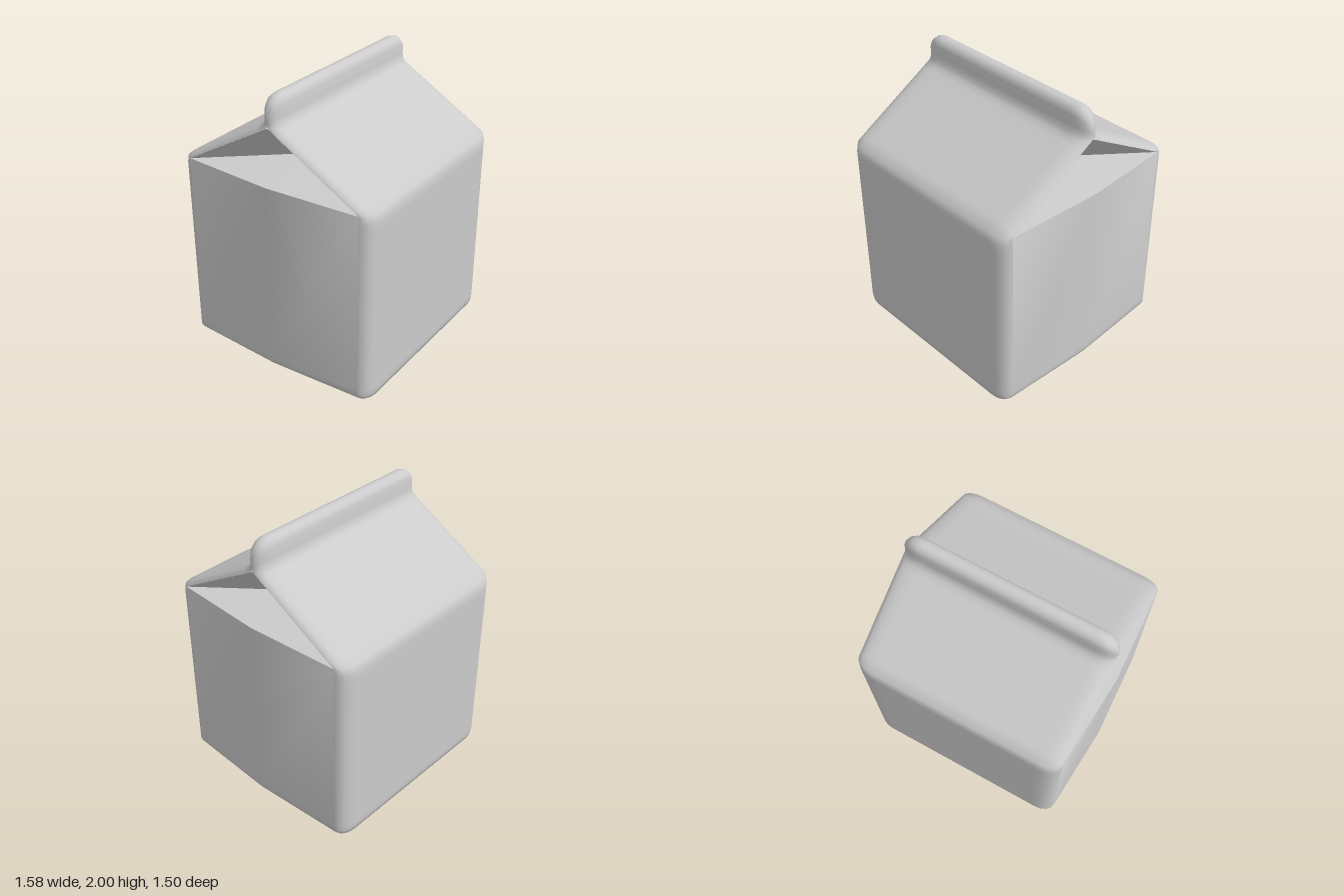
import * as THREE from 'three';
import { mergeGeometries, toCreasedNormals } from 'three/addons/utils/BufferGeometryUtils.js';

const material = new THREE.MeshStandardMaterial({ color: 0xcccccc });
const foldMaterial = new THREE.MeshStandardMaterial({ color: 0xcccccc, side: THREE.DoubleSide });

// Surface through rows of [x, y, z] points
function gridSurface(rows) {
  const n = rows[0].length, index = [];
  for (let r = 0; r < rows.length - 1; r++) {
    for (let c = 0; c < n - 1; c++) {
      const a = r * n + c, d = a + n;
      index.push(a, a + 1, d, a + 1, d + 1, d);
    }
  }
  const g = new THREE.BufferGeometry();
  g.setAttribute('position', new THREE.Float32BufferAttribute(rows.flat(2), 3));
  g.setIndex(index);
  return g;
}

// Stations across the width: x, side sign, and a quarter-round at each end
const STEPS = 4;
const right = [{ x: 0.59, s: 0, k: 0 }];
for (let i = 0; i <= STEPS; i++) {
  const t = (i / STEPS) * Math.PI / 2;
  right.push({ x: 0.63 + 0.12 * Math.sin(t), s: Math.sin(t), k: 1 - Math.cos(t) });
}
const left = right.map((p) => ({ x: -p.x, s: -p.s, k: p.k })).reverse();
const stations = [...left, ...right];

// Half profile: [z, y] in the middle, then [z, y] at the outer end
const HALF = [
  [0.67, 0, 0.67, 0.07], [0.71, 0.008, 0.67, 0.07], [0.74, 0.03, 0.67, 0.07],
  [0.75, 0.07, 0.67, 0.07], [0.75, 0.11, 0.67, 0.11], [0.75, 1.31, 0.67, 1.31],
  [0.75, 1.36, 0.67, 1.36], [0.735, 1.41, 0.67, 1.41], [0.67, 1.455, 0.67, 1.41],
  [0.63, 1.479, 0.63, 1.433], [0.12, 1.776, 0.07, 1.76], [0.085, 1.80, 0.01, 1.795],
  [0.067, 1.83, 0, 1.81], [0.06, 1.87, 0, 1.83], [0.06, 1.94, 0, 1.84],
  [0.048, 1.975, 0, 1.845], [0.025, 1.994, 0, 1.85],
];
const profile = [
  ...HALF,
  [0, 2, 0, 1.85],
  ...HALF.map(([z, y, ze, ye]) => [-z, y, -ze, ye]).reverse(),
];

// Front, roof, sealed fin and back as one wrapped sheet
function wrapSheet() {
  return gridSurface(profile.map(([z, y, ze, ye]) => stations.map(({ x, k }) =>
    [x, y + (ye - y) * k, z + (ze - z) * k])));
}

// Bottom and the two bulging sides as one sheet
function sideSheet() {
  const wall = (sign, ys) => ys.map((y) => ({ x: 0.75 * sign, s: sign, y }));
  const path = [
    ...wall(-1, [1.41, 0.11]),
    ...stations.map(({ x, s, k }) => ({ x, s, y: 0.07 * k })),
    ...wall(1, [0.11, 1.41]),
  ];
  return gridSurface([-0.67, 0, 0.67].map((z) => {
    const bulge = z === 0 ? 0.04 : 0;
    return path.map((p) => [p.x + p.s * bulge, p.y, z]);
  }));
}

// Folded-in gable end: two slanting walls and a shallow floor
function gableFold(sign) {
  const front = [0.75 * sign, 1.41, 0.67], back = [0.75 * sign, 1.41, -0.67];
  const peak = [0.75 * sign, 1.8, 0], inner = [0.29 * sign, 1.455, 0];
  const edge = [0.79 * sign, 1.41, 0];
  const triangles = [
    [front, inner, peak], [inner, back, peak],
    [front, edge, inner], [edge, back, inner],
  ];
  if (sign < 0) triangles.forEach((t) => t.reverse());
  const g = new THREE.BufferGeometry();
  g.setAttribute('position', new THREE.Float32BufferAttribute(triangles.flat(2), 3));
  g.computeVertexNormals();
  return g;
}

export function createModel() {
  const group = new THREE.Group();
  group.name = 'carton';

  const shell = mergeGeometries([wrapSheet(), sideSheet()]);
  const body = new THREE.Mesh(toCreasedNormals(shell, 0.9), material);
  body.name = 'cartonBody';
  group.add(body);

  for (const sign of [1, -1]) {
    const fold = new THREE.Mesh(gableFold(sign), foldMaterial);
    fold.name = sign > 0 ? 'leftGableFold' : 'rightGableFold';
    group.add(fold);
  }
  return group;
}
